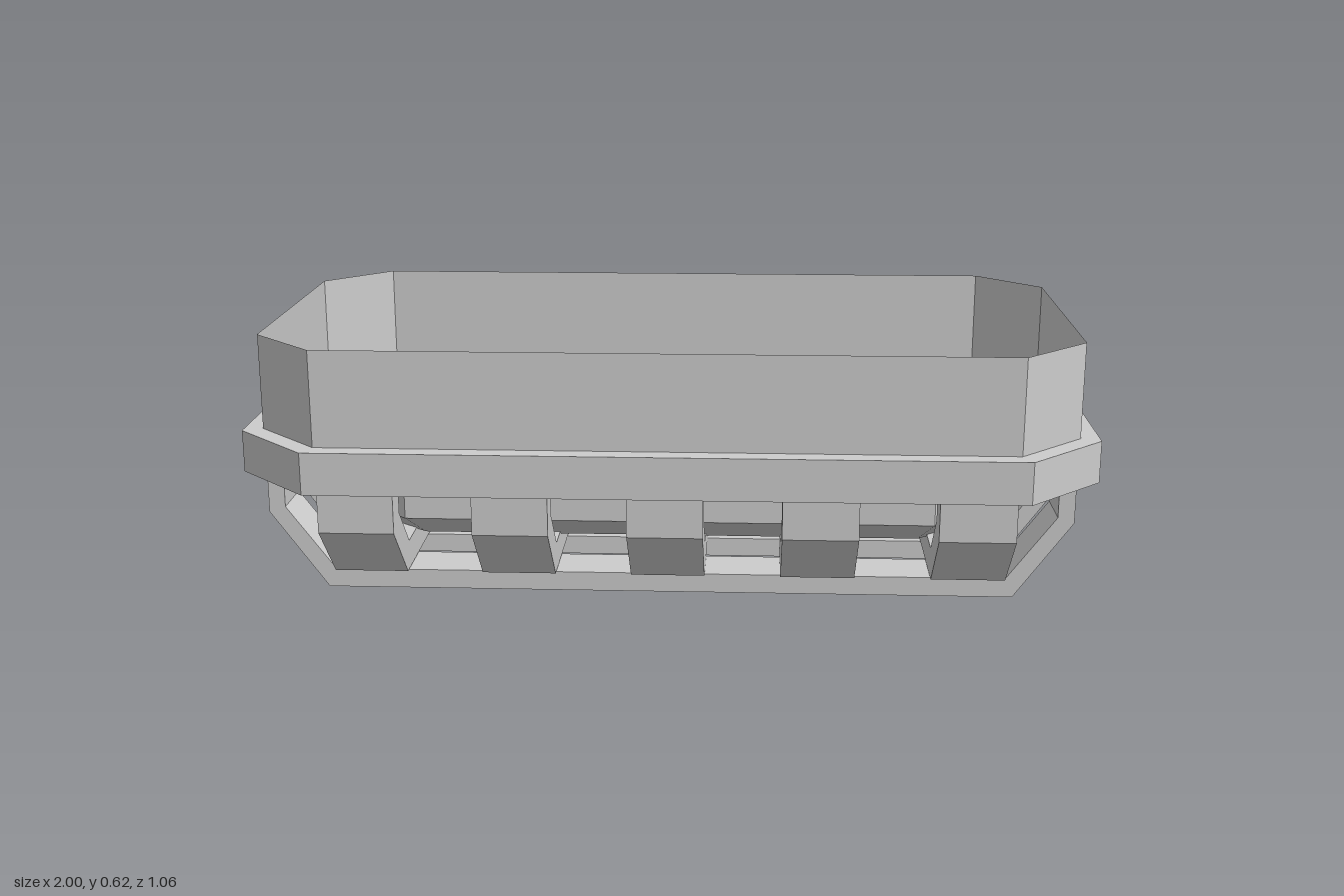
import * as THREE from 'three';

const grey = new THREE.MeshStandardMaterial({ color: 0xcccccc, side: THREE.DoubleSide, flatShading: true });
grey.name = 'grey';

// Rectangle with cut corners: half sizes a, b and where the cuts begin, ca, cb
function octagon(a, b, ca, cb) {
  return [[a, -cb], [a, cb], [ca, b], [-ca, b], [-a, cb], [-a, -cb], [-ca, -b], [ca, -b]]
    .map(([x, z]) => new THREE.Vector2(x, z));
}

const rimOuter = octagon(1, 0.53, 0.82, 0.35);
const wallLine = octagon(0.955, 0.485, 0.8, 0.33);
const tubTop = octagon(0.79, 0.315, 0.63, 0.16);
const tubBase = octagon(0.715, 0.22, 0.6, 0.13);

function mesh(name, geometry) {
  const m = new THREE.Mesh(geometry, grey);
  m.name = name;
  return m;
}

// Flat slab with a hole, lying between two heights
function slab(outer, hole, y0, y1) {
  const shape = new THREE.Shape(outer);
  shape.holes.push(new THREE.Path(hole));
  return new THREE.ExtrudeGeometry(shape, { depth: y1 - y0, bevelEnabled: false })
    .rotateX(-Math.PI / 2).translate(0, y0, 0);
}

// Open band joining two octagons, lower to upper
function band(low, y0, high, y1) {
  const pos = [];
  low.forEach((p, i) => {
    const j = (i + 1) % low.length;
    const a = [p.x, y0, -p.y], b = [low[j].x, y0, -low[j].y];
    const c = [high[j].x, y1, -high[j].y], d = [high[i].x, y1, -high[i].y];
    pos.push(...a, ...b, ...c, ...a, ...c, ...d);
  });
  const g = new THREE.BufferGeometry();
  g.setAttribute('position', new THREE.Float32BufferAttribute(pos, 3));
  g.computeVertexNormals();
  return g;
}

// Angular U-shaped strip, from half profiles running top to bottom
function strip(outer, inner, width) {
  const mirror = ([x, y]) => [-x, y];
  const pts = [...outer, ...outer.map(mirror).reverse(), ...inner.map(mirror), ...[...inner].reverse()];
  const shape = new THREE.Shape(pts.map(([x, y]) => new THREE.Vector2(x, y)));
  return new THREE.ExtrudeGeometry(shape, { depth: width, bevelEnabled: false }).translate(0, 0, -width / 2);
}

export function createModel() {
  const model = new THREE.Group();
  model.name = 'basket';

  // Rim, upper wall and recessed floor
  model.add(mesh('rim', slab(rimOuter, wallLine, 0.295, 0.395)));
  model.add(mesh('upperWall', band(wallLine, 0.395, wallLine, 0.622)));
  model.add(mesh('floor', slab(wallLine, tubTop, 0.295, 0.32)));

  // Sunken tub in the middle of the floor
  const tub = new THREE.Group();
  tub.name = 'tub';
  tub.add(mesh('tubWall', band(tubTop, 0.172, tubTop, 0.295)));
  tub.add(mesh('tubSlope', band(tubBase, 0.107, tubTop, 0.172)));
  const base = new THREE.ShapeGeometry(new THREE.Shape(tubBase)).rotateX(-Math.PI / 2).translate(0, 0.107, 0);
  tub.add(mesh('tubBase', base));
  model.add(tub);

  // Cross ribs, whose ends poke through the floor
  const ribGeometry = strip(
    [[0.484, 0.35], [0.484, 0.19], [0.342, 0.048]],
    [[0.415, 0.35], [0.415, 0.218], [0.313, 0.116]], 0.175).rotateY(Math.PI / 2);
  for (let i = -2; i <= 2; i++) {
    const rib = mesh('crossRib', ribGeometry);
    rib.position.x = i * 0.355;
    model.add(rib);
  }

  // Long runners under the ribs
  const runnerGeometry = strip(
    [[0.954, 0.35], [0.954, 0.187], [0.818, 0]],
    [[0.915, 0.35], [0.915, 0.2], [0.8, 0.046]], 0.128);
  for (let i = -1; i <= 1; i++) {
    const runner = mesh('longRunner', runnerGeometry);
    runner.position.z = i * 0.261;
    model.add(runner);
  }
  return model;
}
